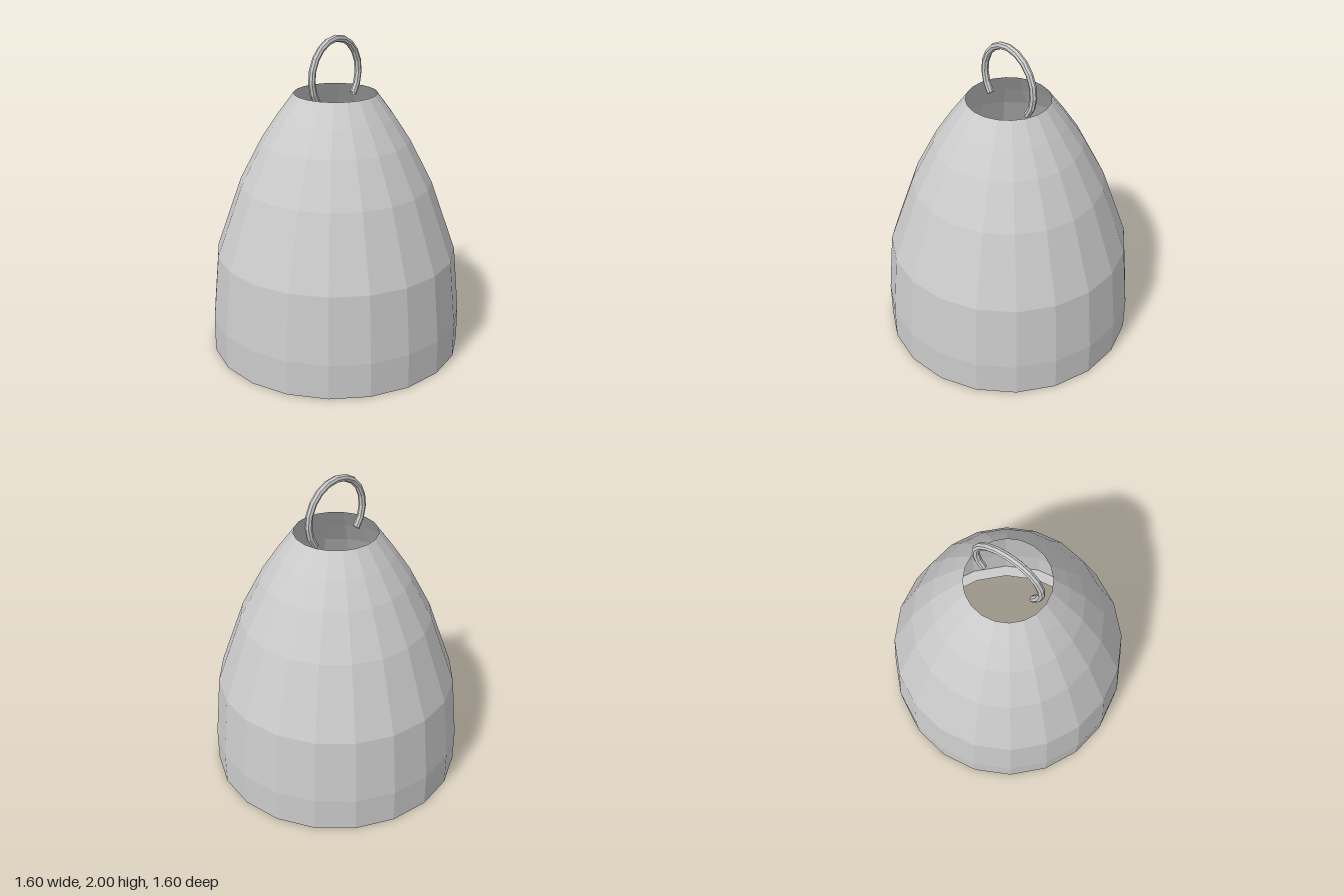
import * as THREE from 'three';

export function createModel() {
  const model = new THREE.Group();
  const material = new THREE.MeshStandardMaterial({
    color: 0xcccccc, flatShading: true, side: THREE.DoubleSide,
  });
  const SIDES = 20, OUTER = 0.8, INNER = 0.72, BAND = 0.22;

  const add = (name, geometry) => {
    const mesh = new THREE.Mesh(geometry, material);
    mesh.name = name;
    model.add(mesh);
    return mesh;
  };

  // Faceted thin shell, open at the top and bottom
  const profile = [
    [OUTER, 0], [OUTER, BAND], [0.76, 0.64], [0.6, 1.09],
    [0.46, 1.36], [0.36, 1.51], [0.257, 1.65],
  ].map(([r, y]) => new THREE.Vector2(r, y));
  add('bellShell', new THREE.LatheGeometry(profile, SIDES));

  // Flat lip turned inward around the mouth
  const lip = new THREE.RingGeometry(INNER, OUTER, SIDES, 1);
  add('mouthLip', lip.rotateX(Math.PI / 2));

  // Small upright rib inside the lower band
  const rib = new THREE.PlaneGeometry(OUTER - INNER, BAND);
  rib.translate((OUTER + INNER) / 2, BAND / 2, 0);
  add('innerRib', rib).rotation.y = -THREE.MathUtils.degToRad(162);

  // Hanging loop: an open arc whose ends dip into the top opening
  const arc = THREE.MathUtils.degToRad(260);
  const loop = new THREE.TorusGeometry(0.223, 0.022, 8, 14, arc);
  loop.rotateZ((Math.PI - arc) / 2);
  add('hangingLoop', loop).position.y = 1.755;

  return model;
}
